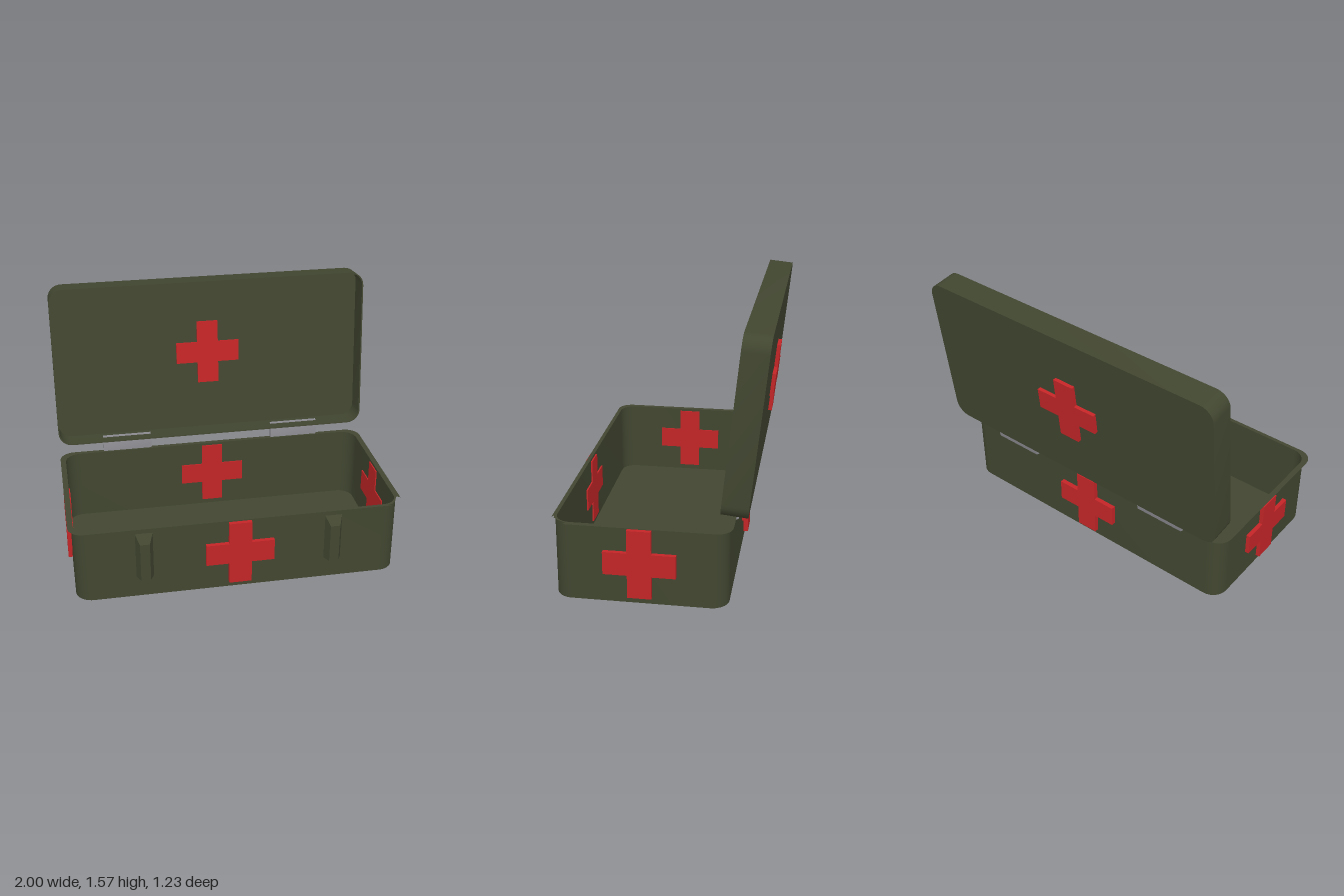
import * as THREE from 'three';
import { toCreasedNormals } from 'three/addons/utils/BufferGeometryUtils.js';

const mat = (name, color) => new THREE.MeshStandardMaterial({ name, color });

// Rectangle with rounded corners, centred on the origin (half sizes a, b)
function roundRect(a, b, r, Type = THREE.Shape) {
  const s = new Type();
  s.moveTo(a, -b + r);
  s.lineTo(a, b - r);
  s.absarc(a - r, b - r, r, 0, Math.PI / 2);
  s.lineTo(-a + r, b);
  s.absarc(-a + r, b - r, r, Math.PI / 2, Math.PI);
  s.lineTo(-a, -b + r);
  s.absarc(-a + r, -b + r, r, Math.PI, Math.PI * 1.5);
  s.lineTo(a - r, -b);
  s.absarc(a - r, -b + r, r, Math.PI * 1.5, Math.PI * 2);
  return s;
}

function extrude(shape, depth, curveSegments = 4) {
  const g = new THREE.ExtrudeGeometry(shape, { depth, curveSegments, bevelEnabled: false });
  return toCreasedNormals(g, 0.75);
}

// Plus sign of total size 0.41, extruded along z
function crossGeometry(depth) {
  const l = 0.205, w = 0.068;
  const pts = [];
  for (let i = 0; i < 4; i++) {
    for (const [x, y] of [[l, -w], [l, w], [w, w]]) {
      const p = new THREE.Vector2(x, y);
      pts.push(p.rotateAround(new THREE.Vector2(), i * Math.PI / 2));
    }
  }
  return extrude(new THREE.Shape(pts), depth);
}

export function createModel() {
  const olive = mat('olive paint', 0x414630);
  const red = mat('red paint', 0xc42527);
  const steel = mat('hinge steel', 0x8a8a90);
  const flat = mat('rim olive', 0x414630);
  flat.side = THREE.DoubleSide;

  const model = new THREE.Group();
  model.name = 'firstAidBox';
  const add = (parent, name, geo, material) => {
    const m = new THREE.Mesh(geo, material);
    m.name = name;
    parent.add(m);
    return m;
  };

  // Open tray: thin wall ring and a floor, depth running along +z
  function tray(parent, prefix, a, b, r, depth, segs) {
    const t = 0.008;
    const ring = roundRect(a, b, r);
    ring.holes.push(roundRect(a - t, b - t, r - t, THREE.Path));
    add(parent, prefix + 'Walls', extrude(ring, depth, segs), olive);
    add(parent, prefix + 'Panel', extrude(roundRect(a - 0.001, b - 0.001, r), t, segs), olive);
  }

  // Lower box, laid flat with its opening upward
  const box = new THREE.Group();
  box.name = 'box';
  box.rotation.x = -Math.PI / 2;
  box.position.z = 0.08;
  model.add(box);
  tray(box, 'box', 0.975, 0.49, 0.1, 0.465, 5);

  // Flat rim flange, torn away at the front left corner
  const rim = new THREE.Shape();
  rim.moveTo(1, -0.425);
  rim.lineTo(1, 0.42);
  rim.absarc(0.91, 0.42, 0.09, 0, Math.PI / 2);
  rim.lineTo(-0.91, 0.51);
  rim.absarc(-0.91, 0.42, 0.09, Math.PI / 2, Math.PI);
  rim.lineTo(-1, -0.415);
  rim.absarc(-0.91, -0.415, 0.09, Math.PI, Math.PI * 1.5);
  for (const [x, y] of [[0.92, -0.505], [0.9, -0.493], [0.925, -0.49], [0.95, -0.465], [0.98, -0.41]]) rim.lineTo(x, y);
  rim.holes.push(roundRect(0.97, 0.485, 0.1, THREE.Path));
  add(box, 'rimFlange', new THREE.ShapeGeometry(rim, 4), flat).position.z = 0.4655;

  // Crosses set through the four walls
  const walls = [
    ['front', 0, 0.553, 0, 0.043],
    ['back', 0, -0.395, Math.PI, 0.043],
    ['left', 0.96, 0.08, Math.PI / 2, 0.04],
    ['right', -0.96, 0.08, -Math.PI / 2, 0.04],
  ];
  for (const [name, x, z, turn, depth] of walls) {
    const c = add(model, name + 'Cross', crossGeometry(depth), red);
    c.position.set(x, 0.245, z);
    c.rotation.y = turn;
  }

  // Open lid, leaning back about its lower front edge
  const lid = new THREE.Group();
  lid.name = 'lid';
  lid.position.set(0, 0.555, -0.36);
  lid.rotation.x = -0.103;
  model.add(lid);
  const shell = new THREE.Group();
  shell.name = 'lidShell';
  shell.position.set(0, 0.51, -0.15);
  lid.add(shell);
  tray(shell, 'lid', 1, 0.51, 0.085, 0.15, 3);
  add(shell, 'lidCross', crossGeometry(0.043), red).position.set(0, 0.013, -0.022);

  // Latch: block whose front face is narrower and slopes in at the top
  const latch = new THREE.BoxGeometry(0.105, 0.295, 0.05);
  const p = latch.attributes.position;
  for (let i = 0; i < p.count; i++) {
    if (p.getZ(i) < 0) continue;
    p.setX(i, p.getX(i) * 0.55);
    if (p.getY(i) > 0) p.setY(i, p.getY(i) - 0.05);
  }
  latch.computeVertexNormals();

  // Hinge leaf: bent strip from the back wall up into the lid
  const strip = [[0.412, 0.42], [0.437, 0.43], [0.45, 0.5], [0.447, 0.562], [0.433, 0.562], [0.412, 0.5]];
  const hinge = extrude(new THREE.Shape(strip.map(([z, y]) => new THREE.Vector2(z, y))), 0.312);
  hinge.translate(0, 0, -0.156).rotateY(Math.PI);
  hinge.rotateY(Math.PI / 2).rotateY(Math.PI / 2).rotateY(Math.PI / 2);

  for (const [side, s] of [['left', 1], ['right', -1]]) {
    add(model, side + 'Latch', latch, olive).position.set(s * 0.567, 0.283, 0.593);
    add(model, side + 'Hinge', hinge, steel).position.x = s * 0.558;
  }
  return model;
}
